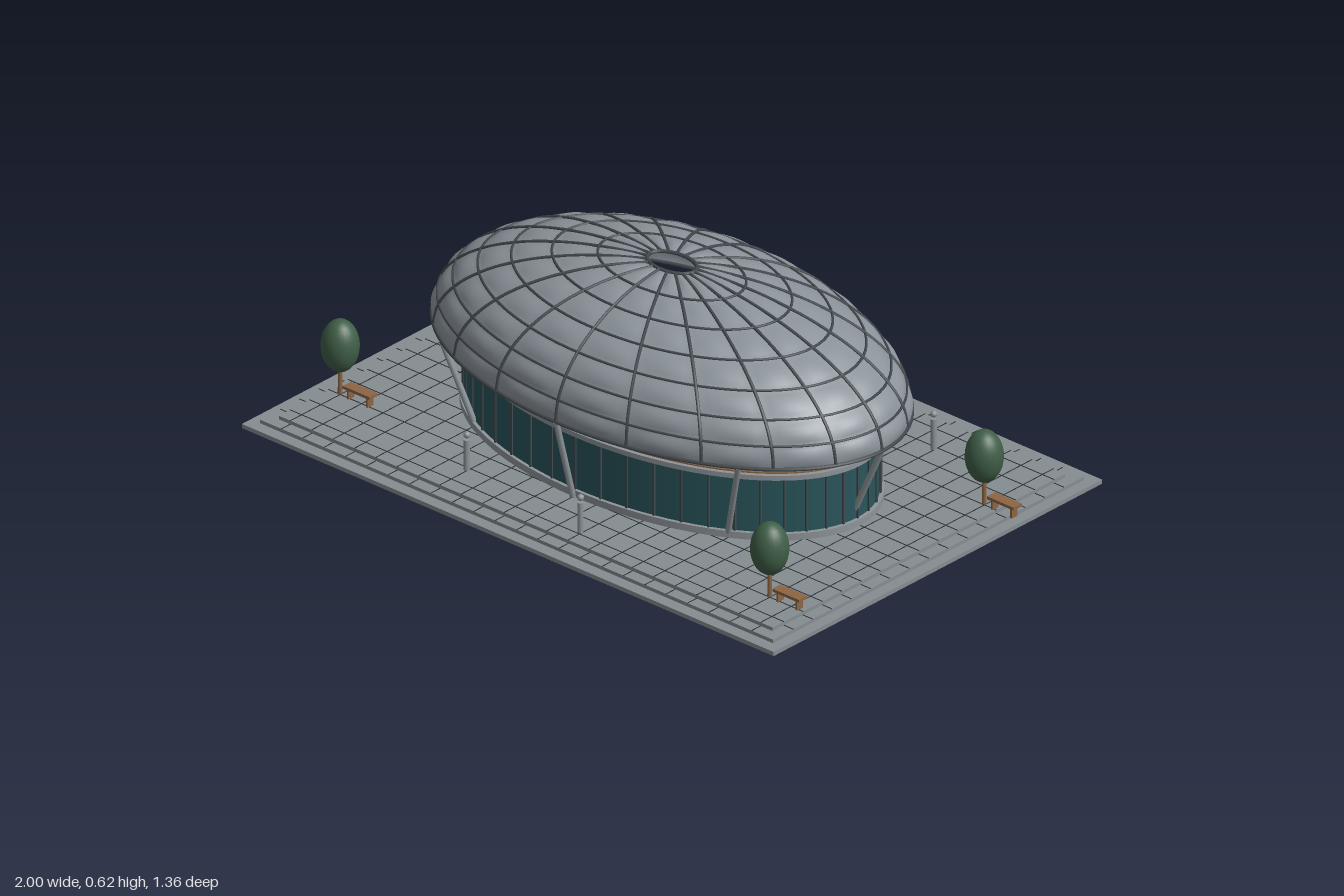
import * as THREE from 'three';

const mat = (name, color, side = THREE.FrontSide) =>
  Object.assign(new THREE.MeshStandardMaterial({ color, side }), { name });

export function createModel() {
  const stone = mat('paving stone', 0x868d92);
  const joint = mat('dark joint', 0x2c3135);
  const panel = mat('roof panel', 0x8b939a, THREE.DoubleSide);
  const rib = mat('roof rib', 0x42494e);
  const glass = mat('teal glass', 0x29555b);
  const steel = mat('steel', 0x8d9499);
  const wood = mat('wood', 0x8c6543);
  const leaf = mat('foliage', 0x3f5e47);

  const model = new THREE.Group();
  const add = (name, geo, material, x = 0, y = 0, z = 0, parent = model) => {
    const m = new THREE.Mesh(geo, material);
    m.name = name;
    m.position.set(x, y, z);
    parent.add(m);
    return m;
  };
  const group = (name) => {
    const g = new THREE.Group();
    g.name = name;
    model.add(g);
    return g;
  };
  // Straight round bar between two points
  const bar = (name, a, b, r, material, parent) => {
    const m = add(name, new THREE.CylinderGeometry(r, r, a.distanceTo(b), 10), material, 0, 0, 0, parent);
    m.position.copy(a).add(b).multiplyScalar(0.5);
    m.quaternion.setFromUnitVectors(new THREE.Vector3(0, 1, 0), b.clone().sub(a).normalize());
    return m;
  };
  const onEllipse = (t, a, b, y) => new THREE.Vector3(a * Math.sin(t), y, b * Math.cos(t));

  // Stepped plaza, each step [half x, half z, bottom, top]
  const steps = [[0.995, 0.68, 0, 0.013], [0.96, 0.643, 0.013, 0.024], [0.924, 0.606, 0.024, 0.035]];
  const plaza = group('plaza');
  for (const [hx, hz, y0, y1] of steps)
    add('plazaStep', new THREE.BoxGeometry(hx * 2, y1 - y0, hz * 2), stone, 0, (y0 + y1) / 2, 0, plaza);

  // Paving joints on the two upper steps
  const joints = group('pavingJoints');
  const gap = 0.08, w = 0.003;
  for (const [hx, hz, , top] of steps.slice(1)) {
    for (let i = -11; i <= 11; i++)
      add('jointAcross', new THREE.BoxGeometry(w, 0.002, hz * 2), joint, i * gap, top, 0, joints);
    for (let i = -7; i <= 7; i++)
      add('jointAlong', new THREE.BoxGeometry(hx * 2, 0.002, w), joint, 0, top, i * gap, joints);
  }

  // Oval glass hall
  const hall = group('hall');
  const oval = (name, a, b, y0, y1, material) => {
    const geo = new THREE.CylinderGeometry(1, 1, y1 - y0, 96).scale(a, 1, b);
    return add(name, geo, material, 0, (y0 + y1) / 2, 0, hall);
  };
  oval('plinth', 0.705, 0.408, 0.035, 0.056, steel);
  oval('glassWall', 0.693, 0.398, 0.056, 0.224, glass);
  oval('topRing', 0.705, 0.408, 0.224, 0.239, steel);
  oval('timberDeck', 0.692, 0.396, 0.239, 0.243, wood);
  for (let i = 0; i < 48; i++) {
    const p = onEllipse((i / 48) * Math.PI * 2, 0.695, 0.4, 0.14);
    add('mullion', new THREE.BoxGeometry(0.006, 0.168, 0.006), rib, p.x, p.y, p.z, hall);
  }

  // Dome: half ellipsoid open at the crown, in 20 by 7 panels
  const A = 0.785, B = 0.48, H = 0.31, RIM = 0.3, SECTORS = 20, BANDS = 7;
  const STEP = THREE.MathUtils.degToRad(12);
  const onDome = (t, v, out = 0) => {
    const c = Math.cos(v * STEP), s = Math.sin(v * STEP);
    return new THREE.Vector3((A + out) * c * Math.sin(t), RIM + (H + out) * s, (B + out) * c * Math.cos(t));
  };
  const dome = group('dome');
  const shell = new THREE.PlaneGeometry(1, 1, SECTORS * 6, BANDS * 6);
  const uv = shell.attributes.uv, pos = shell.attributes.position;
  for (let i = 0; i < pos.count; i++) {
    const u = uv.getX(i) * SECTORS, v = uv.getY(i) * BANDS;
    // Each panel swells slightly between its ribs
    const swell = 0.008 * Math.abs(Math.sin(Math.PI * u) * Math.sin(Math.PI * v));
    const p = onDome((u / SECTORS) * Math.PI * 2, v, swell);
    pos.setXYZ(i, p.x, p.y, p.z);
  }
  shell.computeVertexNormals();
  add('roofPanels', shell, panel, 0, 0, 0, dome);

  for (let i = 0; i < SECTORS; i++) {
    const pts = [];
    for (let v = 0; v <= BANDS; v++) pts.push(onDome((i / SECTORS) * Math.PI * 2, v, 0.002));
    add('meridianRib', new THREE.TubeGeometry(new THREE.CatmullRomCurve3(pts), 28, 0.005, 6), rib, 0, 0, 0, dome);
  }
  for (let v = 0; v <= BANDS; v++) {
    const pts = [];
    for (let i = 0; i < 40; i++) pts.push(onDome((i / 40) * Math.PI * 2, v, 0.002));
    const r = v === 0 || v === BANDS ? 0.006 : 0.004;
    const path = new THREE.CatmullRomCurve3(pts, true);
    add('ringRib', new THREE.TubeGeometry(path, 100, r, 6, true), rib, 0, 0, 0, dome);
  }

  // Eight leaning columns under the rim
  const columns = group('columns');
  for (let i = 0; i < 8; i++) {
    const t = (i / 8) * Math.PI * 2;
    bar('column', onEllipse(t, 0.665, 0.41, 0.036), onEllipse(t, A, B, RIM), 0.009, steel, columns);
  }

  // Trees, each with a bench beside it
  for (const [x, z] of [[-0.8, -0.485], [0.875, -0.325], [-0.885, 0.395], [0.795, 0.475]]) {
    const tree = group('tree');
    tree.position.set(x, 0, z);
    add('trunk', new THREE.CylinderGeometry(0.006, 0.007, 0.1, 10), wood, 0, 0.085, 0, tree);
    add('crown', new THREE.SphereGeometry(0.055, 24, 16).scale(1, 1.46, 1), leaf, 0, 0.187, 0, tree);
    const bench = group('bench');
    bench.position.set(x + 0.075, 0, z);
    add('benchSeat', new THREE.BoxGeometry(0.1, 0.009, 0.034), wood, 0, 0.07, 0, bench);
    for (const s of [-1, 1])
      add('benchLeg', new THREE.BoxGeometry(0.006, 0.031, 0.024), wood, s * 0.036, 0.05, 0, bench);
  }

  // Standing visitors
  for (const [x, z] of [[0.555, -0.47], [-0.325, 0.49], [0.155, 0.55]]) {
    const visitor = group('visitor');
    visitor.position.set(x, 0, z);
    add('body', new THREE.CylinderGeometry(0.009, 0.009, 0.095, 12), steel, 0, 0.0825, 0, visitor);
    add('head', new THREE.SphereGeometry(0.01, 12, 8), steel, 0, 0.145, 0, visitor);
  }

  return model;
}
